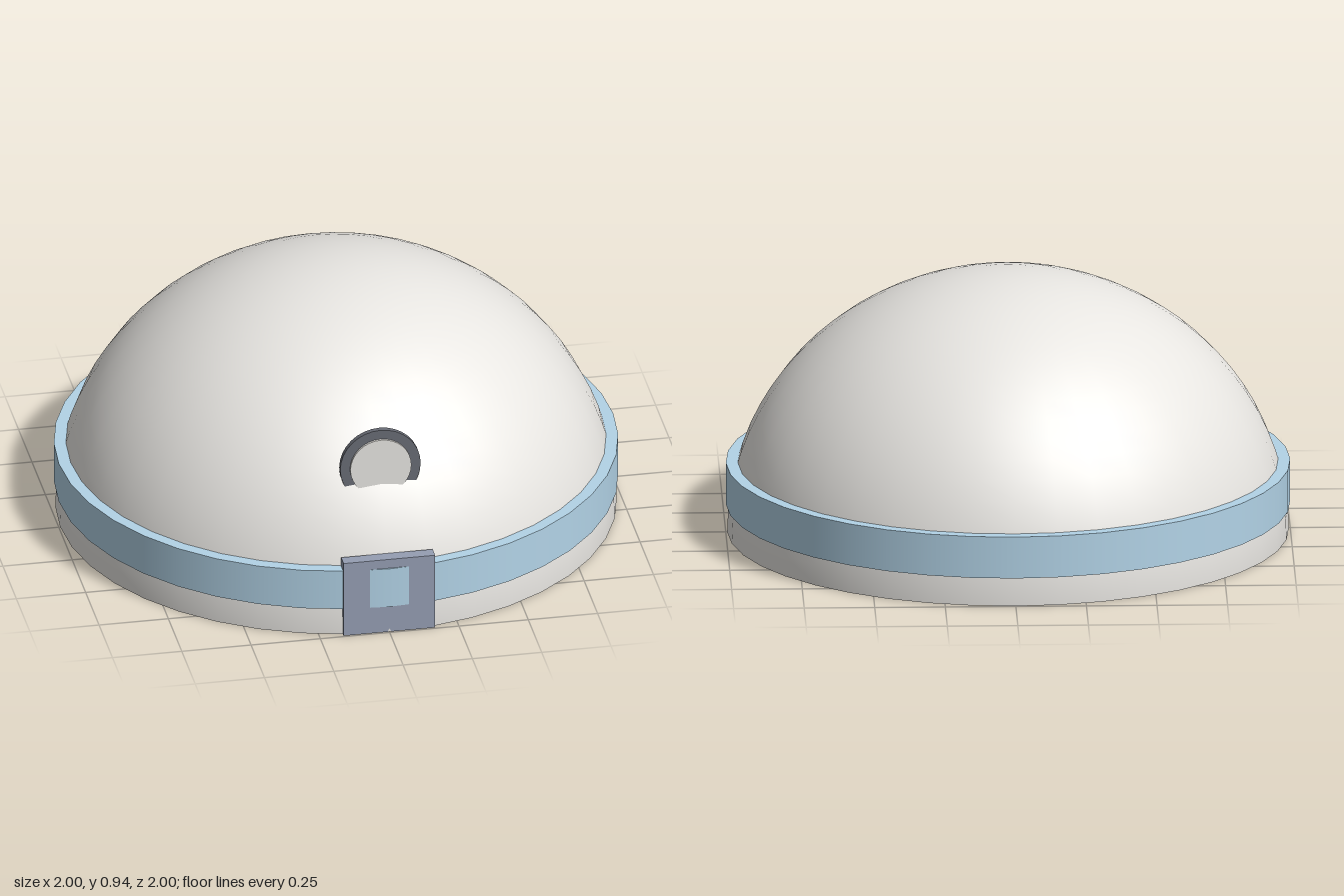
import * as THREE from 'three';

export function createModel() {
  const group = new THREE.Group();
  const mat = (name, color) => {
    const m = new THREE.MeshStandardMaterial({ color });
    m.name = name;
    return m;
  };
  const shellWhite = mat('shellWhite', 0xebe9e5);
  shellWhite.side = THREE.DoubleSide; // the shell is open below
  const bandBlue = mat('bandBlue', 0xb3d4e8);
  const plateGrey = mat('plateGrey', 0x959eb3);
  const rimGrey = mat('rimGrey', 0x686b74);

  const add = (name, geometry, material, x, y, z) => {
    const mesh = new THREE.Mesh(geometry, material);
    mesh.name = name;
    mesh.position.set(x, y, z);
    group.add(mesh);
  };

  const SEGMENTS = 40;

  // Slightly flattened half-sphere shell, open at the bottom
  const dome = new THREE.SphereGeometry(0.995, SEGMENTS, 20, 0, Math.PI * 2, 0, Math.PI / 2);
  dome.scale(1, 0.945 / 0.995, 1);
  add('dome', dome, shellWhite, 0, 0, 0);

  // Solid band through the dome: its lower cap is the recessed floor,
  // and its front edge shows through the buckle plate
  add('band', new THREE.CylinderGeometry(1, 1, 0.152, SEGMENTS), bandBlue, 0, 0.179, 0);

  // Buckle plate at the front
  add('bucklePlate', new THREE.BoxGeometry(0.33, 0.29, 0.0465), plateGrey, 0, 0.145, 0.9712);

  // Round badge, partly sunk into the dome: dark rim disc with a light face
  const disc = (radius, depth) =>
    new THREE.CylinderGeometry(radius, radius, depth, 32).rotateX(Math.PI / 2);
  add('badgeRim', disc(0.145, 0.02), rimGrey, 0, 0.576, 0.818);
  add('badgeFace', disc(0.11, 0.009), shellWhite, 0, 0.576, 0.8325);

  return group;
}
